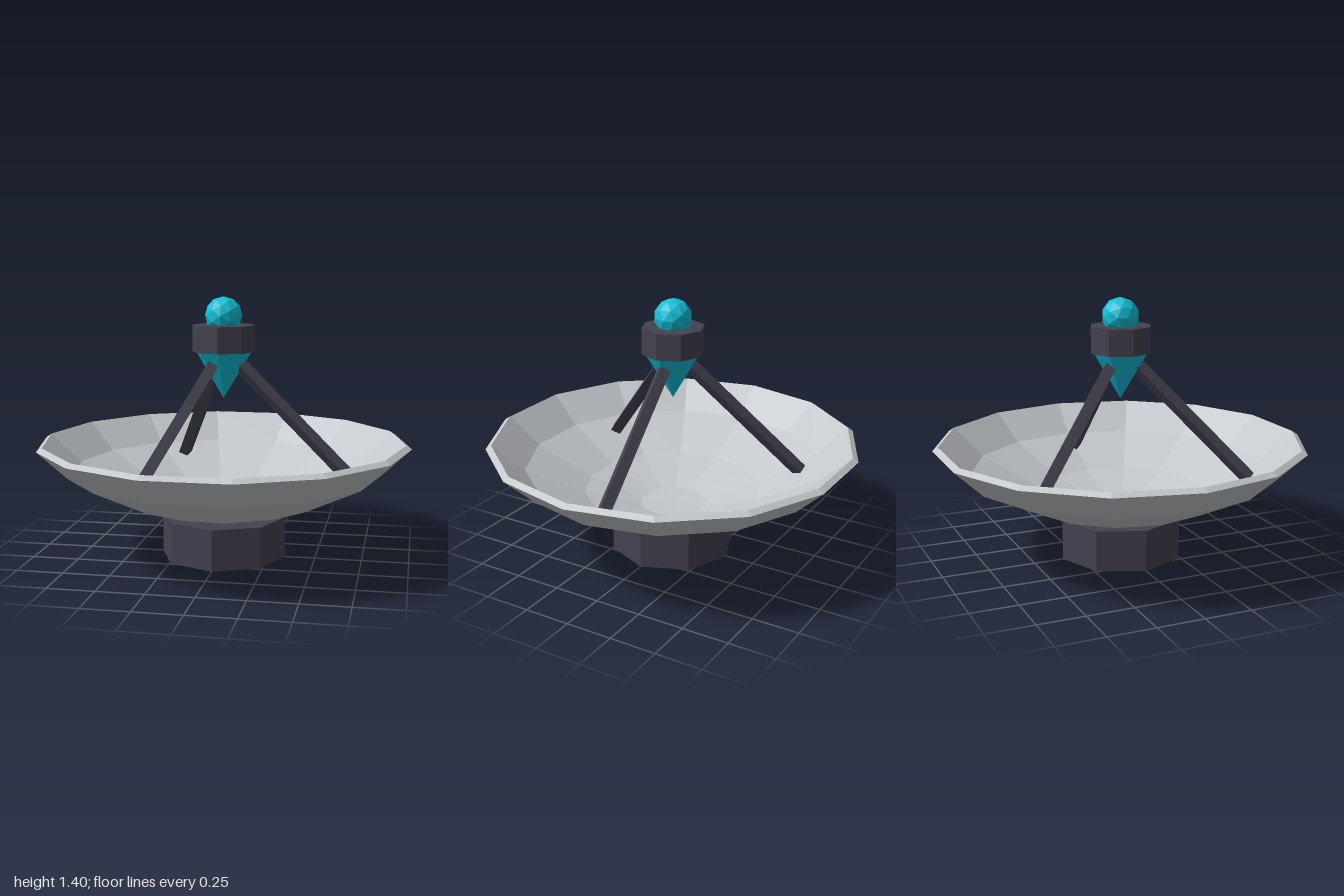
import * as THREE from 'three';

// Faceted normals for the low-poly style
function facet(geometry) {
  const g = geometry.index ? geometry.toNonIndexed() : geometry;
  g.computeVertexNormals();
  return g;
}

export function createModel() {
  const model = new THREE.Group();
  model.name = 'dishAntenna';

  const paleGrey = new THREE.MeshStandardMaterial({ color: 0xc4c8cc });
  paleGrey.name = 'paleGrey';
  const darkSlate = new THREE.MeshStandardMaterial({ color: 0x444250 });
  darkSlate.name = 'darkSlate';
  const cyan = new THREE.MeshStandardMaterial({ color: 0x12c0d8 });
  cyan.name = 'cyan';

  const add = (name, geometry, material, y = 0, parent = model) => {
    const mesh = new THREE.Mesh(facet(geometry), material);
    mesh.name = name;
    mesh.position.y = y;
    parent.add(mesh);
    return mesh;
  };

  // Octagonal pedestal
  add('base', new THREE.CylinderGeometry(0.338, 0.338, 0.22, 8), darkSlate, 0.11);

  // Fourteen-sided bowl: outside upwards, over the rim, inside back down
  const profile = [
    [0, 0.215], [0.2, 0.222], [0.52, 0.31], [0.84, 0.465], [1, 0.615],
    [0.97, 0.635], [0.8, 0.485], [0.485, 0.335], [0.18, 0.25], [0, 0.245],
  ].map(([r, y]) => new THREE.Vector2(r, y));
  const bowl = new THREE.LatheGeometry(profile, 14);
  bowl.rotateY(Math.PI / 2);
  add('dish', bowl, paleGrey);

  // Three diamond-section struts from the bowl to the receiver
  const foot = new THREE.Vector2(0.69, 0.44);
  const head = new THREE.Vector2(0.08, 1.05);
  for (let i = 0; i < 3; i++) {
    const arm = new THREE.Group();
    arm.name = 'strutArm' + (i + 1);
    arm.rotation.y = (i * Math.PI * 2) / 3;
    model.add(arm);
    const strut = add('strut', new THREE.CylinderGeometry(0.04, 0.04, foot.distanceTo(head), 4),
      darkSlate, (foot.y + head.y) / 2, arm);
    strut.position.x = (foot.x + head.x) / 2;
    strut.rotation.z = Math.atan2(foot.x - head.x, head.y - foot.y);
  }

  // Receiver: downward cone, octagonal collar and ball
  const cone = new THREE.ConeGeometry(0.15, 0.25, 8);
  cone.rotateX(Math.PI);
  add('feedCone', cone, cyan, 0.985);
  add('receiverCollar', new THREE.CylinderGeometry(0.168, 0.168, 0.14, 8), darkSlate, 1.18);
  add('beaconBall', new THREE.IcosahedronGeometry(0.1, 1), cyan, 1.3);

  return model;
}
